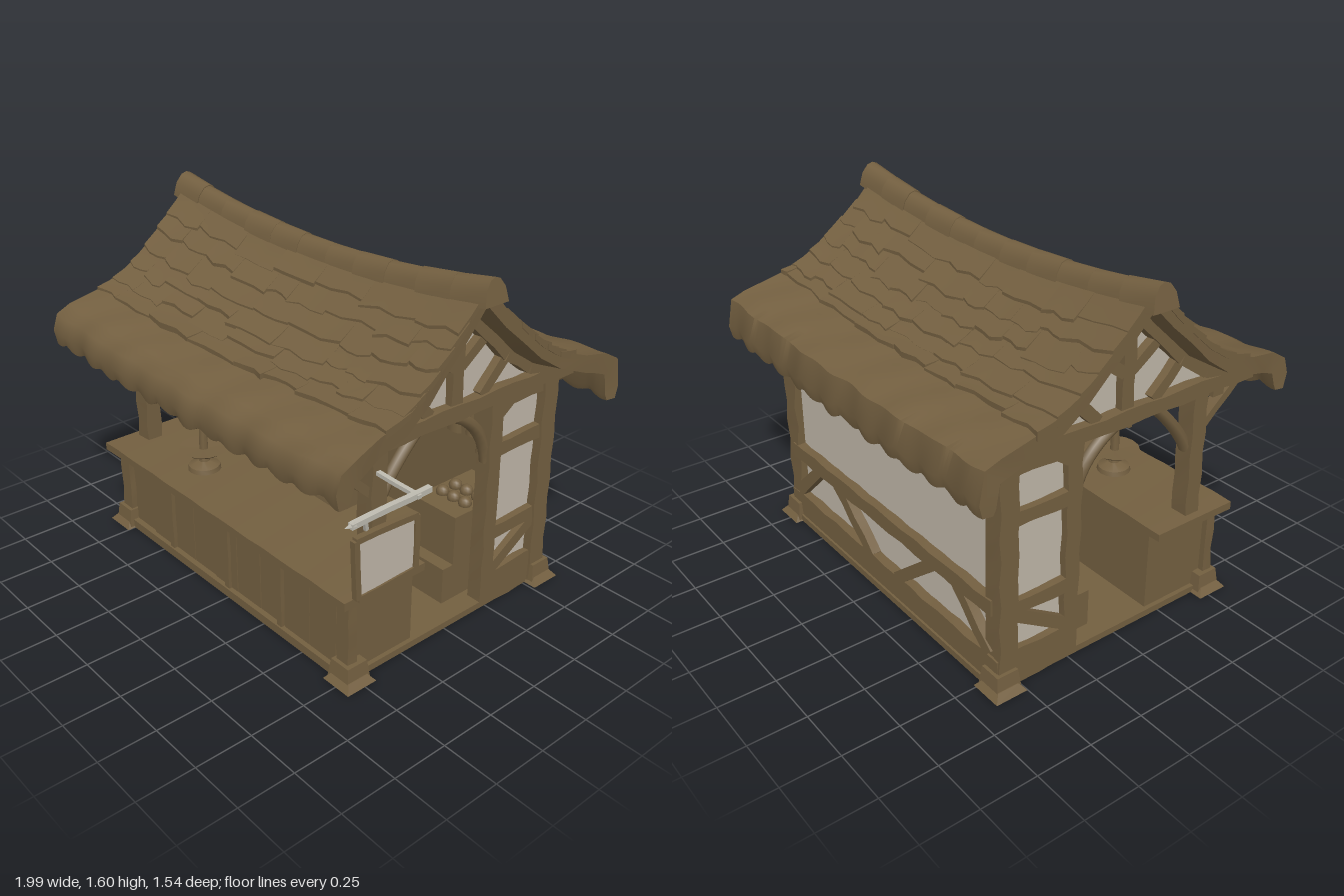
import * as THREE from 'three';
import { mergeGeometries, toCreasedNormals } from 'three/addons/utils/BufferGeometryUtils.js';

const V = (x, y, z) => new THREE.Vector3(x, y, z);
let seed = 7;
const rnd = () => (seed = (seed * 16807) % 2147483647) / 2147483647;

const wood = new THREE.MeshStandardMaterial({ color: 0x735f40, side: THREE.DoubleSide });
wood.name = 'brownWood';
const plaster = new THREE.MeshStandardMaterial({ color: 0xbfb6a8, side: THREE.DoubleSide });
plaster.name = 'palePlaster';
const metal = new THREE.MeshStandardMaterial({ color: 0xbebbb0 });
metal.name = 'paleMetal';

function add(parent, name, geo, mat = wood, x = 0, y = 0, z = 0) {
  const m = new THREE.Mesh(geo, mat);
  m.name = name;
  m.position.set(x, y, z);
  parent.add(m);
  return m;
}
// Box given by its limits
function box(parent, name, x0, x1, y0, y1, z0, z1, mat = wood) {
  return add(parent, name, new THREE.BoxGeometry(x1 - x0, y1 - y0, z1 - z0), mat,
    (x0 + x1) / 2, (y0 + y1) / 2, (z0 + z1) / 2);
}
// Hand-hewn beam from a to b; depth is measured along the axis, width across it
function beam(parent, name, a, b, width, depth, axis = V(1, 0, 0), mat = wood) {
  const dir = b.clone().sub(a), len = dir.length();
  dir.normalize();
  const g = new THREE.BoxGeometry(depth, len, width, 1, Math.max(2, Math.round(len / 0.1)), 1);
  const side = axis.clone().cross(dir).normalize();
  g.applyMatrix4(new THREE.Matrix4().makeBasis(axis, dir, side).setPosition(a.clone().add(b).multiplyScalar(0.5)));
  const p = g.attributes.position, w = Math.min(width * 0.07, 0.006);
  for (let i = 0; i < p.count; i++) {
    const x = p.getX(i), y = p.getY(i), z = p.getZ(i);
    const n = Math.sin(x * 23 + y * 31 + z * 19) * w;
    p.setXYZ(i, x + side.x * n, y + side.y * n, z + side.z * n);
  }
  g.computeVertexNormals();
  return add(parent, name, g, mat);
}

// Roof profile from ridge to eave as [z, y], upper and lower skin
const upper = [[0, 1.56], [0.1, 1.445], [0.2, 1.35], [0.3, 1.26], [0.42, 1.18], [0.55, 1.14], [0.68, 1.115], [0.74, 1.08], [0.763, 1.01], [0.75, 0.955]];
const lower = [[0, 1.48], [0.1, 1.375], [0.2, 1.285], [0.3, 1.19], [0.42, 1.11], [0.55, 1.065], [0.63, 1.04], [0.685, 1.02], [0.7, 0.98], [0.71, 0.955]];
const sag = (z, x) => (0.085 - 0.06 * Math.min(Math.abs(z) / 0.7, 1)) * (1 - (x / 0.94) ** 2);
function roofY(z, x) {
  const a = Math.abs(z);
  let i = 0;
  while (i < 6 && upper[i + 1][0] < a) i++;
  const [z0, y0] = upper[i], [z1, y1] = upper[i + 1];
  return y0 + (y1 - y0) * (a - z0) / (z1 - z0) - sag(z, x);
}
// The left verge flares out towards the eaves
const vergeX = z => 0.89 + 0.06 * Math.min(Math.abs(z) / 0.75, 1);

function roofShell() {
  const mirror = pts => [...pts.slice(1).reverse().map(([z, y], i) => [-z, i < 2 ? y - 0.045 : y]), ...pts];
  const ring = [...mirror(upper), ...mirror(lower).reverse()];
  const R = ring.length, N = 90, pos = [], idx = [];
  for (let i = 0; i <= N; i++) {
    for (const [z, y] of ring) {
      const x = -0.942 + (0.942 + vergeX(z)) * i / N;
      const lip = Math.max(0, Math.abs(z) - 0.6) / 0.16;
      const scallop = y < 1 ? 0.026 * Math.abs(Math.sin(x * 22)) - 0.012 : 0;
      pos.push(x + 0.007 * Math.sin(z * 31), y - sag(z, x) - scallop + 0.004 * Math.sin(x * 21 + z * 13),
        z + Math.sign(z) * lip * (0.005 * Math.sin(x * 27) + 0.004 * Math.sin(x * 11 + z)));
    }
  }
  for (let i = 0; i < N; i++) for (let j = 0; j < R; j++) {
    const a = i * R + j, b = i * R + (j + 1) % R;
    idx.push(a, b, a + R, b, b + R, a + R);
  }
  for (let j = 0; j < R / 2 - 1; j++) {
    const t = j, u = R - 1 - j, e = N * R;
    idx.push(u, u - 1, t, t, u - 1, t + 1, e + u, e + t, e + u - 1, e + t, e + t + 1, e + u - 1);
  }
  const g = new THREE.BufferGeometry();
  g.setAttribute('position', new THREE.Float32BufferAttribute(pos, 3));
  g.setIndex(idx);
  return toCreasedNormals(g, 0.8);
}

// Rows of worn, uneven shingles bent onto the sagging roof
function shingles() {
  const list = [];
  for (const s of [1, -1]) for (let row = 0; row < 6; row++) {
    const z0 = 0.03 + row * 0.075, end = vergeX(z0) + 0.005;
    for (let x = -0.945; x < end - 0.03;) {
      const w = Math.min(0.12 + rnd() * 0.2, end - x), len = 0.085 + rnd() * 0.035, lift = 0.007 + rnd() * 0.012;
      const g = new THREE.BoxGeometry(w, 1, len, 3, 1, 2), p = g.attributes.position;
      for (let i = 0; i < p.count; i++) {
        const px = x + w / 2 + p.getX(i), t = p.getZ(i) * s / len + 0.5;
        const z = s * (z0 + t * (len + 0.008 * Math.sin(px * 37 + row)));
        p.setXYZ(i, px, roofY(z, px) + (p.getY(i) > 0 ? 0.004 + lift * t : -0.02), z);
      }
      g.computeVertexNormals();
      list.push(g);
      x += w;
    }
  }
  return mergeGeometries(list);
}

function buildRoof(root) {
  const roof = new THREE.Group();
  roof.name = 'roof';
  root.add(roof);
  add(roof, 'roofShell', roofShell());
  add(roof, 'shingles', shingles());
  // Ridge caps: saddles that narrow towards the top
  const half = [[-0.062, -0.05], [-0.05, 0.01], [-0.025, 0.045], [0, 0.054], [0.025, 0.045], [0.05, 0.01], [0.062, -0.05]];
  const saddle = new THREE.Shape(half.map(p => new THREE.Vector2(...p)));
  const y = x => 1.532 - sag(0, x + 0.03);
  for (let i = 0; i < 11; i++) {
    const x0 = -0.985 + i * 0.1735, len = 0.178, size = 0.93 + rnd() * 0.1;
    const g = new THREE.ExtrudeGeometry(saddle, { depth: len, bevelEnabled: false });
    g.scale(size, size, 1);
    g.rotateY(Math.PI / 2);
    const m = add(roof, 'ridgeCap', toCreasedNormals(g, 0.9), wood, x0, y(x0), 0);
    m.rotation.z = Math.atan2(y(x0 + len) - y(x0), len);
  }
}

// One gable end and its side wall; s is the side of the house
function buildSide(house, s) {
  const side = new THREE.Group();
  side.name = s > 0 ? 'leftSide' : 'rightSide';
  house.add(side);
  const X = s * 0.765, B = (n, z0, y0, z1, y1, w, d = 0.07) => beam(side, n, V(X, y0, z0), V(X, y1, z1), w, d);
  B('frontPost', 0.4, 0.4, 0.4, 1, 0.075, 0.08);
  B('middlePost', -0.245, 0, -0.245, 0.98, 0.07);
  B('backPost', -0.56, 0, -0.56, 1, 0.085, 0.09);
  B('tieBeam', 0.69, 1.005, -0.72, 1, 0.065, 0.09);
  for (const y of [0.355, 0.75, 0.965]) B('sideRail', -0.22, y, -0.56, y, 0.062);
  B('sideSill', -0.21, 0.08, -0.58, 0.08, 0.16);
  B('sideBrace', -0.27, 0.17, -0.53, 0.33, 0.05);
  B('upperSideBrace', -0.27, 0.91, -0.34, 0.96, 0.04);
  B('kingPost', 0, 1.02, 0, 1.46, 0.06);
  for (const m of [1, -1]) {
    const r = [[0, 1.45], [0.28, 1.185], [0.42, 1.09], [0.67, 1.035]];
    for (let i = 0; i < 3; i++) B('rafter', m * r[i][0], r[i][1], m * r[i + 1][0], r[i + 1][1], 0.085, 0.09);
    B('innerStrut', m * 0.02, 1.19, m * 0.17, 1.3, 0.045);
    B('outerStrut', m * 0.14, 1.03, m * 0.29, 1.18, 0.05);
    // Curved knee braces of the side opening
    const k = m > 0 ? [0.37, 0.73, 0.32, 0.84, 0.17, 0.98] : [-0.225, 0.7, -0.2, 0.89, 0, 0.975];
    const c = new THREE.QuadraticBezierCurve3(V(X, k[1], k[0]), V(X, k[3], k[2]), V(X, k[5], k[4]));
    add(side, 'kneeBrace', new THREE.TubeGeometry(c, 10, 0.026, 6));
  }
  B('eaveBrace', 0.43, 0.81, 0.64, 0.99, 0.035, 0.05);
  // Plaster infill
  const tri = new THREE.Shape([[-0.45, 1.03], [0.45, 1.03], [0.28, 1.18], [0, 1.45], [-0.28, 1.18]].map(p => new THREE.Vector2(...p)));
  add(side, 'gablePlaster', new THREE.ShapeGeometry(tri), plaster, X).rotation.y = Math.PI / 2;
  box(side, 'sidePlaster', X - 0.004, X + 0.004, 0.1, 0.98, -0.56, -0.24, plaster);
  // Flared feet with a splintered toe
  for (const z of [-0.575, 0.515]) {
    const f = new THREE.CylinderGeometry(0.07, 0.085, 0.09, 4);
    f.rotateY(Math.PI / 4);
    add(side, 'foot', toCreasedNormals(f, 0.3), wood, s * 0.775, 0.045, z);
    const t = new THREE.CylinderGeometry(0.07, 0.105, 0.03, 4);
    t.rotateY(Math.PI / 4);
    add(side, 'footToe', toCreasedNormals(t, 0.3), wood, s * 0.785, 0.015, z + Math.sign(z) * 0.005);
  }
}

function buildBackWall(house) {
  const ax = V(0, 0, 1), B = (n, x0, y0, x1, y1, w) => beam(house, n, V(x0, y0, -0.575), V(x1, y1, -0.575), w, 0.07, ax);
  box(house, 'backWallInside', -0.74, 0.74, 0.03, 1.06, -0.56, -0.53);
  box(house, 'backPlaster', -0.74, 0.74, 0.1, 1, -0.568, -0.56, plaster);
  B('backSill', -0.8, 0.075, 0.8, 0.075, 0.14);
  B('backRail', -0.76, 0.37, 0.76, 0.37, 0.07);
  B('backUpperRail', -0.76, 0.87, 0.76, 0.87, 0.05);
  B('wallPlate', -0.8, 1, 0.8, 1, 0.07);
  for (const m of [1, -1]) {
    B('backBrace', m * 0.74, 0.15, m * 0.52, 0.36, 0.055);
    B('backBrace', m * 0.38, 0.36, m * 0.1, 0.13, 0.06);
  }
}

function buildCounter(house) {
  box(house, 'counterBody', -0.78, 0.78, 0, 0.39, 0.185, 0.52);
  beam(house, 'counterTop', V(-0.84, 0.407, 0.39), V(0.84, 0.407, 0.39), 0.035, 0.42, V(0, 0, 1));
  for (let i = 0; i < 9; i++) {
    const x = -0.72 + i * 0.16;
    box(house, 'counterPlank', x, x + 0.157, 0.03, 0.36, 0.5, 0.527 + rnd() * 0.008);
  }
  for (const x of [-0.77, -0.4, 0.02, 0.38, 0.77]) beam(house, 'counterStile', V(x, 0, 0.525), V(x, 0.39, 0.525), Math.abs(x) > 0.7 ? 0.07 : 0.03, 0.045, V(0, 0, 1));
  box(house, 'counterFootRail', -0.8, 0.8, 0, 0.04, 0.5, 0.555);
  // Weighing scale
  const pts = [[0, 0], [0.075, 0], [0.07, 0.02], [0.025, 0.04], [0.02, 0.07], [0.08, 0.085], [0.11, 0.105], [0.02, 0.1], [0.015, 0.27], [0, 0.28]].map(p => new THREE.Vector2(...p));
  add(house, 'scale', toCreasedNormals(new THREE.LatheGeometry(pts, 16), 0.6), wood, -0.34, 0.425, 0.39);
  beam(house, 'scaleArm', V(-0.43, 0.68, 0.39), V(-0.25, 0.7, 0.39), 0.022, 0.02, V(0, 0, 1));
}

function buildGoods(house) {
  // Stepped crates
  for (const [x0, x1] of [[-0.72, -0.14], [0.46, 0.7]]) {
    box(house, 'lowCrate', x0, x1, 0.03, 0.2, -0.3, -0.08);
    box(house, 'middleCrate', x0, x1, 0.03, 0.43, -0.5, -0.14);
  }
  box(house, 'topCrate', -0.72, -0.14, 0.43, 0.49, -0.5, -0.155);
  for (let i = 0; i < 6; i++) add(house, 'fruit', new THREE.SphereGeometry(0.03, 10, 8), wood, 0.52 + (i % 3) * 0.065, 0.44, -0.25 - Math.floor(i / 3) * 0.08);
  // Shelf with crates and jars
  box(house, 'lowerShelf', -0.74, -0.28, 0.51, 0.53, -0.53, -0.36);
  box(house, 'upperShelf', -0.74, -0.25, 0.745, 0.765, -0.53, -0.38);
  for (const x of [-0.7, -0.5]) box(house, 'shelfCrate', x, x + 0.18, 0.53, 0.66, -0.52, -0.38);
  for (const x of [-0.6, -0.5, -0.4]) {
    add(house, 'jar', new THREE.CylinderGeometry(0.036, 0.043, 0.09, 12), wood, x, 0.81, -0.46);
  }
  // Sagging line with hanging cloths
  const line = new THREE.QuadraticBezierCurve3(V(-0.4, 0.91, -0.47), V(-0.1, 0.74, -0.47), V(0.74, 0.79, -0.47));
  add(house, 'clothesLine', new THREE.TubeGeometry(line, 20, 0.008, 6));
  for (const [x, w, y] of [[-0.1, 0.08, 0.58], [0.01, 0.06, 0.58], [0.13, 0.015, 0.64], [0.23, 0.07, 0.61], [0.37, 0.07, 0.6], [0.46, 0.04, 0.61], [0.56, 0.1, 0.55]]) {
    const g = new THREE.CylinderGeometry(w * 0.35, w * 0.6, 0.8 - y, 8);
    g.scale(1, 1, 0.4);
    add(house, 'hangingCloth', g, wood, x, (0.8 + y) / 2, -0.47);
  }
}

function buildSign(root) {
  const sign = new THREE.Group();
  sign.name = 'hangingSign';
  root.add(sign);
  beam(sign, 'signRod', V(0.97, 0.89, 0.34), V(0.98, 0.895, 0.73), 0.022, 0.024, V(1, 0, 0), metal);
  beam(sign, 'signBracket', V(0.75, 0.895, 0.41), V(0.99, 0.888, 0.41), 0.016, 0.02, V(0, 0, 1), metal);
  const tip = add(sign, 'rodTip', new THREE.ConeGeometry(0.018, 0.045, 4), metal, 0.98, 0.895, 0.735);
  tip.rotation.x = Math.PI / 2;
  beam(sign, 'signHook', V(0.967, 0.84, 0.645), V(0.975, 0.89, 0.66), 0.014, 0.014, V(1, 0, 0), metal);
  const c = [[0.4, 0.575], [0.68, 0.57], [0.695, 0.815], [0.4, 0.805]];
  c.forEach(([z, y], i) => {
    const [z1, y1] = c[(i + 1) % 4];
    beam(sign, 'signFrame', V(0.965, y, z), V(0.965, y1, z1), 0.024, 0.024);
  });
  box(sign, 'signPanel', 0.961, 0.969, 0.575, 0.805, 0.4, 0.685, plaster);
}

export function createModel() {
  seed = 7;
  const root = new THREE.Group();
  root.name = 'marketStall';
  const house = new THREE.Group();
  house.name = 'house';
  house.position.x = -0.03;
  root.add(house);
  box(house, 'floor', -0.8, 0.8, 0, 0.03, -0.62, 0.54);
  buildBackWall(house);
  for (const s of [1, -1]) buildSide(house, s);
  for (const z of [0.4, 0.5]) box(house, 'frontBeam', -0.8, 0.8, 0.94, 1, z - 0.03, z + 0.03);
  buildCounter(house);
  buildGoods(house);
  buildRoof(root);
  buildSign(root);
  return root;
}
